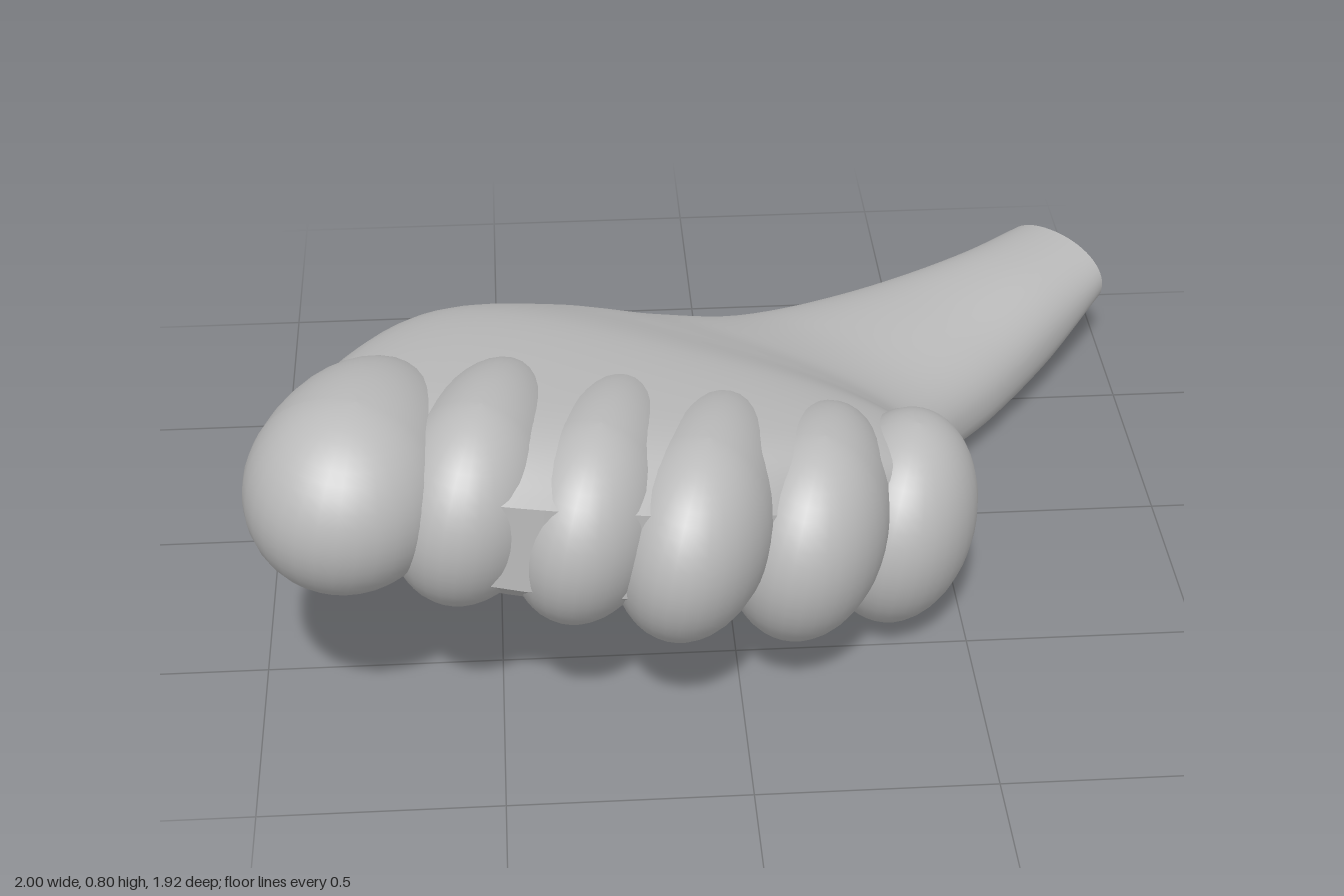
import * as THREE from 'three';

const RING = 56, ROWS = 60;

// Cross-sections from wrist to toes:
// back edge (x, y, z), inner edge (x, y, z), half thickness, forward bow, squareness
const SECTIONS = [
  [0.80, 0.19, -0.96, 1.00, 0.19, -0.72, 0.09, 0, 0.95],
  [0.62, 0.17, -0.81, 0.85, 0.16, -0.51, 0.132, 0, 0.9],
  [0.30, 0.18, -0.60, 0.69, 0.14, -0.30, 0.152, 0, 0.9],
  [0.00, 0.25, -0.39, 0.54, 0.15, -0.10, 0.152, 0, 0.85],
  [-0.25, 0.35, -0.23, 0.49, 0.16, 0.04, 0.165, 0, 0.8],
  [-0.50, 0.45, -0.09, 0.48, 0.20, 0.16, 0.183, 0, 0.75],
  [-0.71, 0.55, 0.13, 0.49, 0.25, 0.28, 0.20, 0.03, 0.7],
  [-0.89, 0.60, 0.48, 0.47, 0.28, 0.41, 0.208, 0.07, 0.7],
  [-0.92, 0.605, 0.68, 0.41, 0.295, 0.48, 0.19, 0.13, 0.7],
  [-0.86, 0.60, 0.80, 0.33, 0.31, 0.53, 0.10, 0.18, 0.8],
];

// Lobes: centre, radii, stretch of the rear half
const LOBES = [
  { at: [-0.79, 0.605, 0.73], r: [0.205, 0.205, 0.23], rear: 1.7 },
  { at: [-0.55, 0.55, 0.69], r: [0.165, 0.222, 0.23], rear: 1.8 },
  { at: [-0.315, 0.49, 0.68], r: [0.16, 0.222, 0.24], rear: 1.8 },
  { at: [-0.10, 0.435, 0.67], r: [0.165, 0.226, 0.25], rear: 1.7 },
  { at: [0.145, 0.345, 0.55], r: [0.17, 0.236, 0.24], rear: 1.5 },
  { at: [0.36, 0.267, 0.39], r: [0.165, 0.237, 0.23], rear: 1.0 },
];

// Smooth body lofted through the cross-sections
function bodyGeometry() {
  const curve = (f) => new THREE.CatmullRomCurve3(SECTIONS.map(f));
  const back = curve((s) => new THREE.Vector3(s[0], s[1], s[2]));
  const inner = curve((s) => new THREE.Vector3(s[3], s[4], s[5]));
  const form = curve((s, i) => new THREE.Vector3(s[6], i, s[7]));
  const square = curve((s, i) => new THREE.Vector3(s[8], i, 0));
  const pos = [], index = [];
  for (let i = 0; i <= ROWS; i++) {
    const t = i / ROWS;
    const a = back.getPoint(t), b = inner.getPoint(t);
    const { x: h, z: bow } = form.getPoint(t), power = square.getPoint(t).x;
    const soft = (v) => Math.sign(v) * Math.abs(v) ** power;
    for (let j = 0; j < RING; j++) {
      const ang = (j / RING) * Math.PI * 2;
      const c = soft(Math.cos(ang)), arch = bow * (1 - c * c);
      const p = a.clone().lerp(b, 0.5 + 0.5 * c);
      pos.push(p.x, p.y + h * soft(Math.sin(ang)) + 0.2 * arch, p.z + arch);
      if (i === ROWS) continue;
      const k = (j + 1) % RING;
      const p0 = i * RING + j, p1 = i * RING + k;
      index.push(p0, p1, p0 + RING, p1, p1 + RING, p0 + RING);
    }
  }
  // End faces as strips between the upper and lower halves, with their own vertices
  for (const row of [0, ROWS]) {
    const start = pos.length / 3;
    pos.push(...pos.slice(row * RING * 3, (row + 1) * RING * 3));
    for (let j = 0; j < RING / 2; j++) {
      const u0 = start + j, u1 = start + j + 1;
      const l0 = start + (RING - j) % RING, l1 = start + RING - j - 1;
      index.push(...(row ? [u0, u1, l1, u0, l1, l0] : [u0, l1, u1, u0, l0, l1]));
    }
  }
  const g = new THREE.BufferGeometry();
  g.setAttribute('position', new THREE.Float32BufferAttribute(pos, 3));
  g.setIndex(index);
  g.computeVertexNormals();
  return g;
}

// Rounded lobe whose rear half tapers back into the body
function lobeGeometry({ r, rear }) {
  const g = new THREE.SphereGeometry(1, 32, 24);
  const p = g.attributes.position;
  for (let i = 0; i < p.count; i++) {
    const z = p.getZ(i);
    p.setXYZ(i, p.getX(i) * r[0], p.getY(i) * r[1], z * r[2] * (z < 0 ? rear : 1));
  }
  g.computeVertexNormals();
  return g;
}

export function createModel() {
  const model = new THREE.Group();
  model.name = 'lobedPaddle';
  const grey = new THREE.MeshStandardMaterial({ color: 0xbababa });
  grey.name = 'plain grey';

  const body = new THREE.Mesh(bodyGeometry(), grey);
  body.name = 'palmAndWrist';
  model.add(body);

  LOBES.forEach((l, i) => {
    const lobe = new THREE.Mesh(lobeGeometry(l), grey);
    lobe.name = `lobe${i + 1}`;
    lobe.position.set(...l.at);
    lobe.rotation.set(0, -0.25, -0.15);
    model.add(lobe);
  });
  return model;
}
